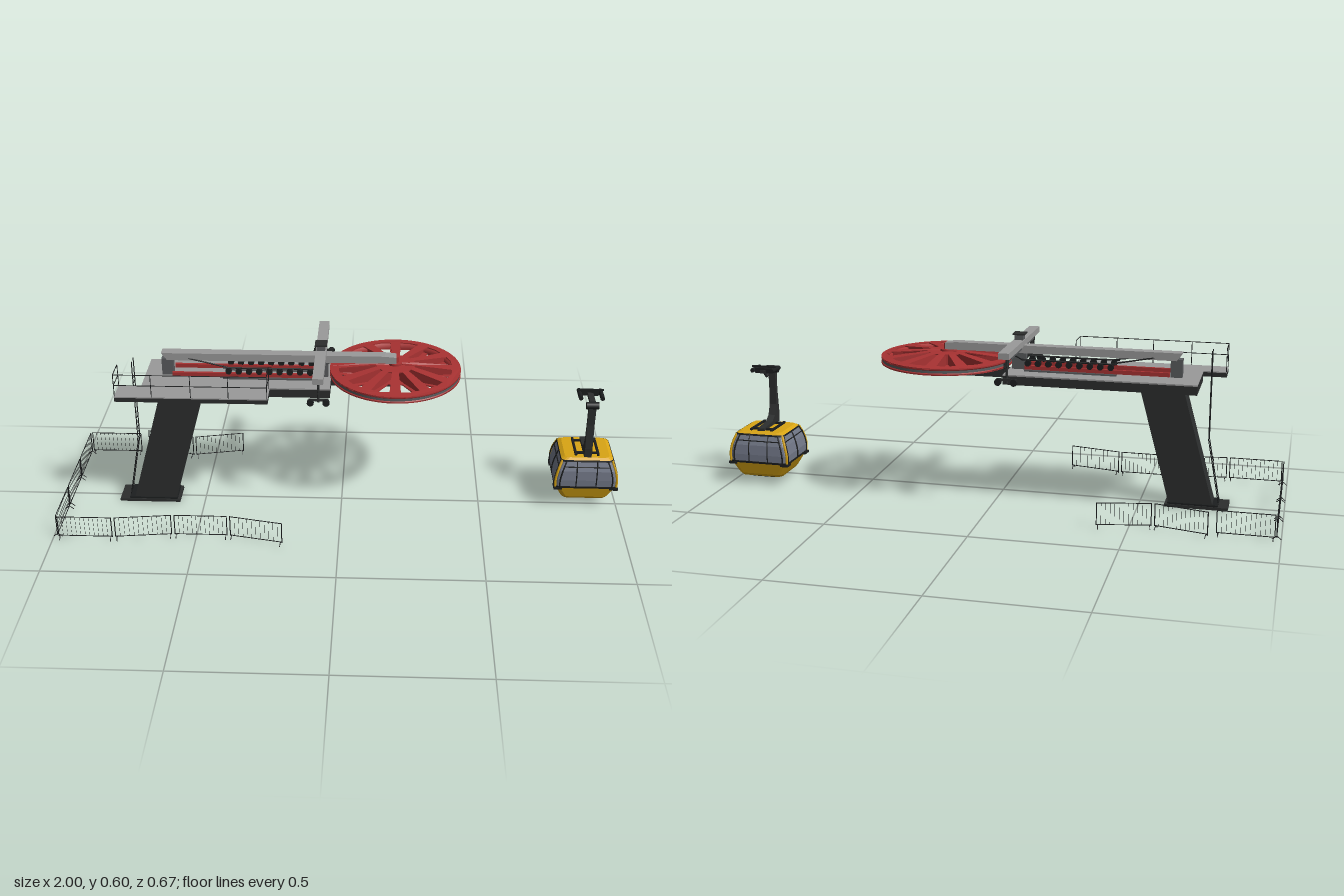
import * as THREE from 'three';

const mat = (color, side = THREE.FrontSide) => new THREE.MeshStandardMaterial({ color, side });
const dark = mat(0x2c2e2e), black = mat(0x1c1e1f), grey = mat(0x9a9a9a), steel = mat(0x5a5c5e);
const red = mat(0xa83232), yellow = mat(0xd9a514), glass = mat(0x737989);
const V = (x, y, z) => new THREE.Vector3(x, y, z);
const CZ = -0.067; // centre line of the drive and the cabin

function add(parent, name, geometry, material, x = 0, y = 0, z = 0) {
  const m = new THREE.Mesh(geometry, material);
  m.name = name;
  m.position.set(x, y, z);
  parent.add(m);
  return m;
}
function group(parent, name) {
  const g = new THREE.Group();
  g.name = name;
  parent.add(g);
  return g;
}
// box given by its min and max on each axis
function box(parent, name, material, x0, x1, y0, y1, z0, z1) {
  return add(parent, name, new THREE.BoxGeometry(x1 - x0, y1 - y0, z1 - z0), material,
    (x0 + x1) / 2, (y0 + y1) / 2, (z0 + z1) / 2);
}
function rod(parent, name, a, b, r, material, sides = 6) {
  const m = add(parent, name, new THREE.CylinderGeometry(r, r, a.distanceTo(b), sides), material);
  m.position.copy(a).lerp(b, 0.5);
  m.quaternion.setFromUnitVectors(V(0, 1, 0), b.clone().sub(a).normalize());
  return m;
}
const shapeOf = pts => new THREE.Shape(pts.map(p => new THREE.Vector2(...p)));
const extrude = (shape, depth) =>
  new THREE.ExtrudeGeometry(shape, { depth, bevelEnabled: false }).translate(0, 0, -depth / 2);

// leaning mast with base plate and ladder
function buildMast(root) {
  const g = group(root, 'mast');
  add(g, 'mastColumn', extrude(shapeOf([[-0.76, 0], [-0.607, 0], [-0.484, 0.45], [-0.635, 0.45]]), 0.08), dark);
  box(g, 'basePlate', dark, -0.81, -0.59, 0, 0.01, -0.05, 0.048);
  box(g, 'basePlinth', black, -0.775, -0.6, 0.01, 0.016, -0.046, 0.044);
  const path = [V(-0.775, 0.01, 0), V(-0.732, 0.24, 0), V(-0.732, 0.555, 0)];
  for (const z of [-0.012, 0.022])
    for (let i = 0; i < 2; i++)
      rod(g, 'ladderRail', path[i].clone().setZ(z), path[i + 1].clone().setZ(z), 0.0018, black);
  for (let y = 0.03; y < 0.5; y += 0.02) {
    const x = y < 0.24 ? -0.777 + y * 0.187 : -0.732;
    rod(g, 'ladderRung', V(x, y, -0.012), V(x, y, 0.022), 0.001, black, 5);
  }
}

// main deck, side walkway and railing
function buildDeck(root) {
  const g = group(root, 'deck');
  box(g, 'deckBody', dark, -0.7, -0.04, 0.437, 0.467, -0.174, 0.042);
  box(g, 'deckTop', grey, -0.7, -0.04, 0.467, 0.472, -0.174, 0.042);
  box(g, 'deckArm', dark, -0.04, 0.19, 0.44, 0.47, CZ - 0.018, CZ + 0.018);
  box(g, 'walkwayBody', dark, -0.78, -0.25, 0.453, 0.468, 0.042, 0.128);
  box(g, 'walkwayTop', grey, -0.78, -0.25, 0.468, 0.472, 0.042, 0.128);
  const corners = [V(-0.778, 0, 0.046), V(-0.778, 0, 0.126), V(-0.252, 0, 0.126), V(-0.252, 0, 0.046)];
  const at = (p, y) => V(p.x, y, p.z);
  corners.slice(0, 3).forEach((a, i) => {
    for (const y of [0.515, 0.555]) rod(g, 'handrail', at(a, y), at(corners[i + 1], y), 0.0014, black);
  });
  const posts = [...corners, V(-0.65, 0, 0.126), V(-0.515, 0, 0.126), V(-0.385, 0, 0.126)];
  for (const p of posts) rod(g, 'railPost', at(p, 0.472), at(p, 0.555), 0.0014, black);
}

// tensioning machinery between deck and top beam
function buildDrive(root) {
  const g = group(root, 'drive');
  add(g, 'topBeam', extrude(shapeOf([[-0.62, 0.53], [0.19, 0.53], [0.19, 0.553], [0.15, 0.557], [-0.64, 0.557]]), 0.038),
    grey, 0, 0, CZ);
  box(g, 'beamRearLeg', steel, -0.64, -0.6, 0.472, 0.535, CZ - 0.016, CZ + 0.016);
  box(g, 'beamFrontLeg', steel, -0.1, -0.05, 0.472, 0.55, CZ - 0.014, CZ + 0.014);
  for (const s of [-1, 1]) {
    const z = CZ + s * 0.034;
    box(g, 'redSideRail', red, -0.6, -0.1, 0.478, 0.492, z - 0.005, z + 0.005);
    box(g, 'sideChannel', steel, -0.42, -0.1, 0.472, 0.478, z - 0.012, z + 0.012);
    rod(g, 'tensionRod', V(-0.42, 0.511, z), V(-0.09, 0.511, z), 0.003, black, 8);
    rod(g, 'stay', V(-0.56, 0.54, CZ + s * 0.015), V(-0.4, 0.512, z), 0.0025, black);
    rod(g, 'frontStay', V(-0.09, 0.511, z), V(-0.02, 0.535, CZ), 0.0025, black);
    for (let i = 0; i < 9; i++)
      add(g, 'roller', new THREE.CylinderGeometry(0.011, 0.011, 0.012, 14).rotateX(Math.PI / 2), black,
        -0.4 + i * 0.036, 0.5, z + s * 0.003);
  }
}

// crossbeam with the rope guides on both ends
function buildCrossbeam(root) {
  const g = group(root, 'crossbeam');
  box(g, 'crossbeamTop', grey, -0.093, -0.056, 0.554, 0.575, CZ - 0.238, CZ + 0.238);
  box(g, 'crossbeamLower', steel, -0.087, -0.062, 0.542, 0.554, CZ - 0.17, CZ + 0.17);
  box(g, 'capBlock', steel, -0.09, -0.06, 0.575, 0.593, CZ - 0.017, CZ + 0.017);
  box(g, 'capPlate', dark, -0.096, -0.054, 0.593, 0.598, CZ - 0.023, CZ + 0.023);
  for (const s of [-1, 1]) {
    const h = group(g, 'ropeGuide');
    h.position.set(-0.075, 0, CZ + s * 0.2);
    rod(h, 'guidePost', V(0, 0.465, -s * 0.006), V(0, 0.555, -s * 0.006), 0.004, dark, 8);
    for (const y of [0.537, 0.522]) rod(h, 'guideAxle', V(0, y, -0.03), V(0, y, 0.03), 0.0025, black);
    for (const z of [-0.026, 0.026]) rod(h, 'axleEnd', V(0, 0.512, z), V(0, 0.54, z), 0.0035, dark);
    box(h, 'guideBogie', dark, -0.034, 0.034, 0.473, 0.481, -0.003, 0.003);
    for (const x of [-0.027, 0.027])
      add(h, 'guideSheave', new THREE.CylinderGeometry(0.012, 0.012, 0.012, 16).rotateX(Math.PI / 2), black, x, 0.47, s * 0.008);
  }
}

// large horizontal rope wheel
function buildWheel(root) {
  const g = group(root, 'ropeWheel');
  g.position.set(0.187, 0.496, CZ);
  const N = 12, R = 0.231;
  const disc = new THREE.Shape().absarc(0, 0, R, 0, Math.PI * 2);
  disc.curves.length = 0;
  disc.setFromPoints(Array.from({ length: 72 }, (_, i) =>
    new THREE.Vector2(Math.cos(i * Math.PI / 36) * R, Math.sin(i * Math.PI / 36) * R)));
  for (let i = 0; i < N; i++) {
    const a = (i + 0.5) / N * Math.PI * 2;
    const pts = [[0.07, -0.09], [0.2, -0.165], [0.2035, 0], [0.2, 0.165], [0.07, 0.09]];
    disc.holes.push(new THREE.Path(pts.map(([r, d]) => new THREE.Vector2(r * Math.cos(a + d), r * Math.sin(a + d)))));
  }
  // shallow cone rising towards the hub
  const plate = extrude(disc, 0.004).rotateX(-Math.PI / 2);
  const p = plate.attributes.position;
  for (let i = 0; i < p.count; i++) p.setY(i, p.getY(i) + 0.01 + 0.02 * (1 - Math.hypot(p.getX(i), p.getZ(i)) / R));
  plate.computeVertexNormals();
  add(g, 'upperSpokePlate', plate, red);
  add(g, 'lowerSpokePlate', plate, red).rotation.x = Math.PI;
  const web = extrude(shapeOf([[0.02, -0.026], [0.2, -0.012], [0.2, 0.012], [0.02, 0.026]]), 0.006);
  for (let i = 0; i < N; i++) add(g, 'spokeWeb', web, red).rotation.y = i / N * Math.PI * 2;
  const rim = [[0.2, -0.01], [0.231, -0.01], [0.231, -0.006], [0.222, -0.003], [0.222, 0.003], [0.231, 0.006], [0.231, 0.01], [0.2, 0.01], [0.2, -0.01]];
  add(g, 'rim', new THREE.LatheGeometry(rim.map(q => new THREE.Vector2(...q)), 72), red);
  add(g, 'ropeLiner', new THREE.CylinderGeometry(0.229, 0.229, 0.009, 72, 1, true), steel);
  add(g, 'hub', new THREE.CylinderGeometry(0.024, 0.024, 0.066, 24), red);
  add(g, 'wheelShaft', new THREE.CylinderGeometry(0.012, 0.012, 0.112, 16), red, 0, -0.002, 0);
}

// rounded-rectangle cross-sections [y, halfX, halfZ] stacked into a shell with end caps
function loft(levels, r = 0.018) {
  const pos = [], idx = [], n = 16;
  const ring = ([y, hx, hz]) => {
    for (let k = 0; k < n; k++) {
      const c = Math.floor(k / 4), a = (c + (k % 4) / 3) * Math.PI / 2;
      const sx = c === 0 || c === 3 ? 1 : -1, sz = c < 2 ? 1 : -1;
      pos.push(sx * (hx - r) + r * Math.cos(a), y, sz * (hz - r) + r * Math.sin(a));
    }
  };
  levels.forEach(ring);
  for (let j = 0; j < levels.length - 1; j++)
    for (let k = 0; k < n; k++) {
      const a = j * n + k, b = j * n + (k + 1) % n;
      idx.push(a, a + n, b, b, a + n, b + n);
    }
  const top = (levels.length - 1) * n;
  for (let k = 1; k < n - 1; k++) idx.push(0, k, k + 1, top, top + k + 1, top + k);
  const g = new THREE.BufferGeometry();
  g.setAttribute('position', new THREE.Float32BufferAttribute(pos, 3));
  g.setIndex(idx);
  const flat = g.toNonIndexed();
  flat.computeVertexNormals();
  return flat;
}

// cabin with hanger arm and rope grip
function buildCabin(root) {
  const g = group(root, 'cabin');
  g.position.set(0.882, 0, CZ);
  add(g, 'lowerShell', loft([[0.03, 0.078, 0.078], [0.04, 0.085, 0.086], [0.087, 0.112, 0.099]]), yellow);
  add(g, 'windowBand', loft([[0.087, 0.111, 0.098], [0.115, 0.112, 0.099], [0.15, 0.105, 0.096], [0.186, 0.092, 0.083]]), glass);
  add(g, 'belt', loft([[0.083, 0.1125, 0.1], [0.09, 0.1135, 0.101]]), black);
  add(g, 'roofEdge', loft([[0.184, 0.095, 0.086], [0.19, 0.094, 0.084]]), black);
  add(g, 'roof', loft([[0.19, 0.093, 0.083], [0.197, 0.08, 0.074]]), yellow);
  const lv = [[0.087, 0.112, 0.099], [0.115, 0.113, 0.1], [0.15, 0.106, 0.097], [0.188, 0.092, 0.083]];
  const strip = (name, f, r, m) => add(g, name, new THREE.TubeGeometry(new THREE.CatmullRomCurve3(lv.map(f)), 10, r, 6), m);
  for (const s of [-1, 1]) {
    for (const t of [-1, 1]) {
      strip('cornerPost', ([y, x, z]) => V(s * (x - 0.003), y, t * (z - 0.006)), 0.0045, yellow);
      strip('endWindowFrame', ([y, x, z]) => V(s * (x - 0.019), y, t * z), 0.0028, black);
      strip('sideWindowFrame', ([y, x, z]) => V(s * x, y, t * (z - 0.013)), 0.0022, black);
      strip('doorPost', ([y, x, z]) => V(s * 0.036, y, t * z), 0.0022, black);
      box(g, 'bumper', black, s * 0.1 - 0.015, s * 0.1 + 0.015, 0.077, 0.086, t * 0.085 - 0.017, t * 0.085 + 0.017);
    }
    strip('sideMullion', ([y, x]) => V(s * x, y, 0), 0.003, black);
    rod(g, 'sideTransom', V(s * 0.101, 0.166, -0.085), V(s * 0.101, 0.166, 0.085), 0.0022, black);
    rod(g, 'endTransom', V(-0.08, 0.166, s * 0.092), V(0.08, 0.166, s * 0.092), 0.002, black);
    rod(g, 'stepBar', V(-0.045, 0.022, s * 0.05), V(0.045, 0.022, s * 0.05), 0.003, black);
    for (const x of [-0.035, 0.035]) rod(g, 'stepLeg', V(x, 0.022, s * 0.05), V(x, 0.035, s * 0.05), 0.002, black);
    box(g, 'roofFrameSide', black, s * 0.04 - 0.004, s * 0.04 + 0.004, 0.195, 0.204, -0.062, 0.062);
    box(g, 'roofFrameCross', black, -0.044, 0.044, 0.195, 0.204, s * 0.045 - 0.004, s * 0.045 + 0.004);
  }
  const arm = shapeOf([[0.073, 0.41], [0.07, 0.325], [0.079, 0.235], [0.077, 0.2], [-0.063, 0.197], [-0.063, 0.207],
    [0.012, 0.213], [0.038, 0.232], [0.053, 0.27], [0.056, 0.33], [0.055, 0.41]]);
  add(g, 'hangerArm', extrude(arm, 0.026).rotateY(-Math.PI / 2), dark);
  rod(g, 'hangerPivot', V(-0.022, 0.402, 0.064), V(0.022, 0.402, 0.064), 0.013, black, 16);
  box(g, 'gripArm', dark, -0.01, 0.01, 0.405, 0.417, -0.025, 0.06);
  rod(g, 'gripBrace', V(0, 0.41, 0.04), V(0, 0.386, 0.01), 0.005, dark);
  rod(g, 'gripLink', V(0, 0.386, 0.01), V(0, 0.41, -0.015), 0.005, dark);
  box(g, 'gripJaw', black, -0.03, 0.03, 0.405, 0.424, -0.022, -0.006);
  box(g, 'gripRail', black, -0.046, 0.046, 0.424, 0.43, -0.012, -0.006);
  for (const x of [-0.038, 0.038])
    rod(g, 'gripRoller', V(x, 0.415, -0.03), V(x, 0.415, 0.036), 0.008, black, 12);
}

// crowd barriers around the mast
function buildFence(root) {
  const g = group(root, 'fence');
  const panels = [[-0.19, 0.315, -0.385, 0.275], [-0.385, 0.275, -0.58, 0.275], [-0.58, 0.275, -0.785, 0.3],
    [-0.785, 0.3, -0.985, 0.3], [-0.985, 0.3, -0.985, 0.1], [-0.985, 0.1, -0.985, -0.1], [-0.985, -0.1, -0.985, -0.3],
    [-0.985, -0.3, -0.785, -0.3], [-0.77, -0.325, -0.58, -0.28], [-0.58, -0.28, -0.39, -0.32]];
  for (const [x0, z0, x1, z1] of panels) {
    const f = group(g, 'barrier'), h = Math.hypot(x1 - x0, z1 - z0) / 2 - 0.006;
    f.position.set((x0 + x1) / 2, 0, (z0 + z1) / 2);
    f.rotation.y = -Math.atan2(z1 - z0, x1 - x0);
    for (const y of [0.012, 0.088]) rod(f, 'barrierRail', V(-h, y, 0), V(h, y, 0), 0.0015, black);
    for (const s of [-1, 1]) {
      rod(f, 'barrierPost', V(s * h, 0.01, 0), V(s * h, 0.089, 0), 0.0018, black);
      for (const t of [-1, 1]) rod(f, 'barrierFoot', V(s * h * 0.95, 0.013, 0), V(s * h * 0.95, 0.001, t * 0.015), 0.0015, black);
    }
    for (let i = 1; i < 12; i++) {
      const x = -h + i * h / 6;
      rod(f, 'barrierBar', V(x, 0.012, 0), V(x, 0.088, 0), 0.0005, black, 4);
    }
  }
}

export function createModel() {
  const root = new THREE.Group();
  root.name = 'gondolaStation';
  for (const build of [buildMast, buildDeck, buildDrive, buildCrossbeam, buildWheel, buildCabin, buildFence]) build(root);
  return root;
}
